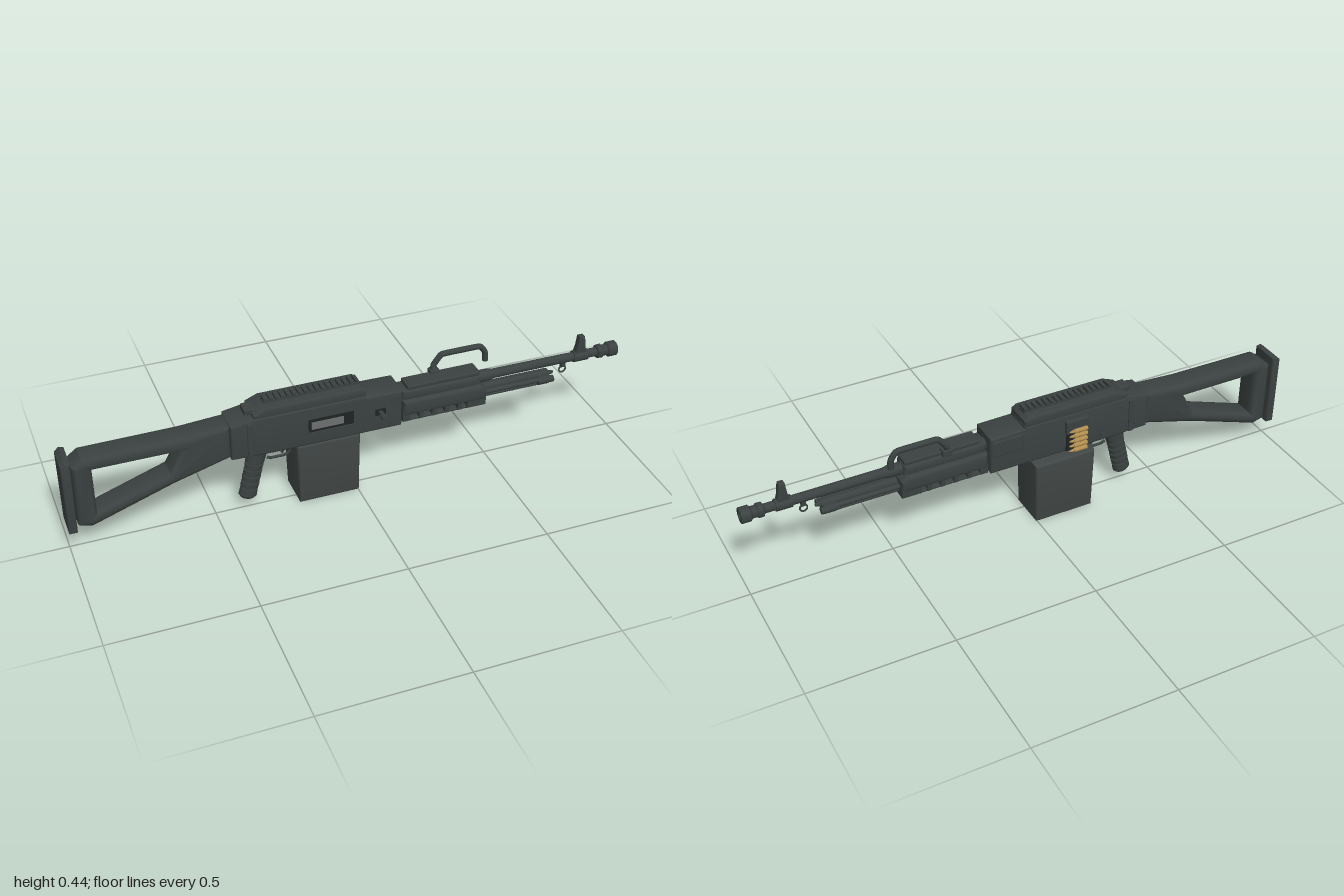
import * as THREE from 'three';
import { toCreasedNormals } from 'three/addons/utils/BufferGeometryUtils.js';
import { RoundedBoxGeometry } from 'three/addons/geometries/RoundedBoxGeometry.js';

const mat = (name, color) => new THREE.MeshStandardMaterial({ name, color });
const ZC = -0.005; // centre line of the body

export function createModel() {
  const root = new THREE.Group();
  const gunmetal = mat('gunmetal', 0x3a4140);
  const boxGrey = mat('ammo box grey', 0x404645);
  const dark = mat('dark recess', 0x1f2323);
  const steel = mat('bolt steel', 0x6c706f);
  const brass = mat('brass', 0xb08d4f);

  const add = (name, geo, m = gunmetal, parent = root) => {
    const mesh = new THREE.Mesh(geo, m);
    mesh.name = name;
    parent.add(mesh);
    return mesh;
  };
  // box given by its extents
  const box = (name, x0, x1, y0, y1, z0, z1, m, r = 0) => {
    const s = [x1 - x0, y1 - y0, z1 - z0];
    const mesh = add(name, r ? new RoundedBoxGeometry(...s, 2, r) : new THREE.BoxGeometry(...s), m);
    mesh.position.set((x0 + x1) / 2, (y0 + y1) / 2, (z0 + z1) / 2);
    return mesh;
  };
  // side outline extruded across z, with bevelled edges inside the outline
  const side = (name, pts, z0, z1, bevel, m, holes = []) => {
    const v = (a) => a.map(([x, y]) => new THREE.Vector2(x, y));
    const shape = new THREE.Shape(v(pts));
    for (const h of holes) shape.holes.push(new THREE.Path(v(h)));
    const geo = new THREE.ExtrudeGeometry(shape, {
      depth: z1 - z0 - 2 * bevel, bevelEnabled: bevel > 0, bevelSize: bevel,
      bevelThickness: bevel, bevelOffset: -bevel, bevelSegments: 3,
    });
    geo.translate(0, 0, z0 + bevel);
    return add(name, toCreasedNormals(geo, 0.6), m);
  };
  // turned part along x: [x, radius] pairs
  const turned = (name, y, z, pts, m, seg = 20) => {
    const geo = new THREE.LatheGeometry(pts.map(([x, r]) => new THREE.Vector2(r, x)), seg);
    geo.rotateZ(-Math.PI / 2);
    const mesh = add(name, toCreasedNormals(geo, 0.6), m);
    mesh.position.set(0, y, z);
    return mesh;
  };
  const rod = (name, x0, x1, y, z, r, m) => turned(name, y, z, [[x0, 0], [x0, r], [x1, r], [x1, 0]], m);
  // round pin pointing along z
  const pin = (name, x, y, z0, z1, r, m) => {
    const geo = new THREE.CylinderGeometry(r, r, z1 - z0, 16);
    geo.rotateX(Math.PI / 2);
    add(name, geo, m).position.set(x, y, (z0 + z1) / 2);
  };
  const tube = (name, pts, r) => {
    const path = new THREE.CatmullRomCurve3(pts.map((p) => new THREE.Vector3(...p)), false, 'catmullrom', 0.2);
    return add(name, new THREE.TubeGeometry(path, 40, r, 10));
  };

  // Shoulder stock and butt plate
  side('stock', [[-0.965, 0.1], [-0.92, 0.087], [-0.64, 0.185], [-0.44, 0.242], [-0.44, 0.368],
    [-0.6, 0.358], [-0.93, 0.356], [-0.965, 0.33]], -0.055, 0.04, 0.02, gunmetal,
  [[[-0.9, 0.308], [-0.605, 0.308], [-0.65, 0.228], [-0.9, 0.14]]]);
  side('buttPlate', [[-1, 0.085], [-0.972, 0.085], [-0.968, 0.36], [-0.985, 0.363], [-1, 0.35]],
    -0.06, 0.047, 0.006);

  // Receiver
  side('receiver', [[-0.445, 0.24], [-0.3, 0.235], [0.157, 0.235], [0.157, 0.374], [0.03, 0.376],
    [0.03, 0.383], [-0.37, 0.383], [-0.445, 0.37]], -0.06, 0.05, 0.007);
  box('rearCollar', -0.39, -0.37, 0.24, 0.37, -0.065, 0.054, gunmetal, 0.004);
  box('frontBlock', 0.035, 0.15, 0.3, 0.36, -0.063, 0.05, gunmetal, 0.004);
  for (const [x, y] of [[-0.4, 0.27], [-0.27, 0.26], [0.12, 0.26], [-0.34, 0.35], [0.12, 0.345]])
    pin('receiverPin', x, y, -0.066, 0.054, 0.007);

  // Feed cover with toothed rail
  side('feedCover', [[-0.365, 0.378], [0.028, 0.378], [0.028, 0.402], [0.012, 0.413],
    [-0.32, 0.413], [-0.365, 0.395]], -0.058, 0.047, 0.006);
  box('rearSightBase', -0.388, -0.345, 0.385, 0.405, -0.03, 0.02, gunmetal, 0.003);
  box('railBase', -0.32, 0.015, 0.408, 0.419, -0.021, 0.011);
  for (let i = 0; i < 17; i++) {
    const x = -0.318 + i * 0.02;
    box('railTooth', x, x + 0.011, 0.418, 0.429, -0.023, 0.013);
  }

  // Ejection port and bolt
  box('portRecess', -0.178, -0.018, 0.287, 0.337, 0.046, 0.0515, dark);
  box('boltFace', -0.168, -0.055, 0.297, 0.326, 0.048, 0.053, steel);
  box('portLip', -0.178, -0.018, 0.28, 0.287, 0.046, 0.056);

  // Charging handle
  box('handleSlot', 0.06, 0.096, 0.298, 0.322, 0.046, 0.054, dark);
  pin('chargingHandleStem', 0.077, 0.31, 0.045, 0.085, 0.008);
  pin('chargingHandleKnob', 0.077, 0.31, 0.08, 0.1, 0.0115);

  // Ammunition box, feed tray and belt
  side('ammoBox', [[-0.212, 0.001], [0.003, 0.001], [0.007, 0.235], [-0.22, 0.235]], -0.096, 0.049, 0.008, boxGrey);
  box('feedTray', -0.205, -0.12, 0.312, 0.361, -0.075, -0.055, gunmetal, 0.003);
  box('feedOpening', -0.2, -0.125, 0.238, 0.312, -0.064, -0.058, dark);
  for (let i = 0; i < 5; i++) {
    const y = 0.247 + i * 0.0195;
    rod('cartridgeCase', -0.195, -0.145, y, -0.081, 0.0075, brass);
    turned('bullet', y, -0.081, [[-0.145, 0.005], [-0.135, 0.0045], [-0.125, 0]], brass, 12);
  }

  // Pistol grip: slim core with stacked ribs
  const grip = new THREE.Group();
  grip.name = 'pistolGrip';
  grip.position.set(-0.34, 0.238, ZC);
  grip.rotation.z = -0.227;
  root.add(grip);
  const gripPart = (name, top, bottom, wTop, wBottom) => {
    const geo = new THREE.CylinderGeometry(wTop / 2, wBottom / 2, top - bottom, 20);
    geo.scale(1, 1, 0.75);
    geo.translate(0, (top + bottom) / 2, 0);
    add(name, geo, gunmetal, grip);
  };
  gripPart('gripCore', 0, -0.195, 0.058, 0.046);
  gripPart('gripTop', 0.01, -0.062, 0.076, 0.066);
  for (let i = 0; i < 4; i++) gripPart('gripRib', -0.067 - i * 0.025, -0.087 - i * 0.025, 0.066, 0.062);
  gripPart('gripFoot', -0.167, -0.195, 0.062, 0.064);
  gripPart('gripCap', -0.195, -0.203, 0.064, 0.05);

  // Trigger and guard
  tube('triggerGuard', [[-0.312, 0.185, ZC], [-0.295, 0.178, ZC], [-0.25, 0.178, ZC], [-0.232, 0.185, ZC],
    [-0.228, 0.205, ZC], [-0.228, 0.24, ZC]], 0.005);
  tube('trigger', [[-0.265, 0.24, ZC], [-0.255, 0.215, ZC], [-0.252, 0.2, ZC], [-0.258, 0.19, ZC]], 0.005);

  // Handguard with vented lower rim
  side('handguard', [[0.165, 0.263], [0.475, 0.263], [0.475, 0.305], [0.455, 0.322], [0.165, 0.322]],
    -0.06, 0.047, 0.014);
  box('handguardFloor', 0.165, 0.475, 0.236, 0.246, -0.048, 0.037, gunmetal, 0.004);
  for (const [a, b] of [[0.165, 0.193], [0.225, 0.241], [0.273, 0.289], [0.321, 0.337], [0.369, 0.385], [0.405, 0.475]])
    box('handguardRib', a, b, 0.24, 0.274, -0.052, 0.041);
  side('upperShroud', [[0.165, 0.315], [0.46, 0.315], [0.455, 0.352], [0.165, 0.356]], -0.043, 0.032, 0.012);
  box('topPlate', 0.185, 0.455, 0.354, 0.37, -0.037, 0.026, gunmetal, 0.005);

  // Carrying handle, offset to one side
  tube('carryHandle', [[0.305, 0.362, -0.03], [0.308, 0.388, -0.042], [0.335, 0.424, -0.042], [0.355, 0.427, -0.042],
    [0.465, 0.427, -0.042], [0.485, 0.424, -0.042], [0.503, 0.398, -0.042], [0.505, 0.365, -0.042]], 0.0105);
  box('carryHandleMount', 0.29, 0.325, 0.352, 0.378, -0.052, -0.02, gunmetal, 0.004);

  // Barrel and muzzle device
  turned('barrel', 0.329, ZC, [[0.14, 0], [0.14, 0.022], [0.5, 0.021], [0.52, 0.017], [0.93, 0.016], [0.93, 0]]);
  turned('muzzleBrake', 0.329, ZC, [[0.92, 0.015], [0.925, 0.024], [0.942, 0.025], [0.947, 0.02], [0.962, 0.02],
    [0.968, 0.027], [0.998, 0.027], [1, 0.025], [1, 0.013], [0.97, 0.013]]);
  rod('bore', 0.96, 0.975, 0.329, ZC, 0.0135, dark);

  // Front sight
  rod('sightCollar', 0.83, 0.885, 0.329, ZC, 0.021);
  side('frontSight', [[0.832, 0.335], [0.882, 0.335], [0.872, 0.368], [0.867, 0.409], [0.847, 0.409], [0.842, 0.368]],
    -0.018, 0.008, 0.003);

  // Gas tube and folded bipod legs
  turned('gasTube', 0.283, ZC, [[0.46, 0], [0.46, 0.016], [0.69, 0.014], [0.72, 0.014], [0.755, 0.005], [0.755, 0]]);
  for (const s of [-1, 1]) {
    rod('bipodLeg', 0.465, 0.735, 0.277, ZC + s * 0.024, 0.009);
    rod('bipodFoot', 0.685, 0.745, 0.272, ZC + s * 0.024, 0.012);
    rod('bipodBrace', 0.465, 0.7, 0.256, ZC + s * 0.014, 0.0055);
  }
  box('bipodYoke', 0.69, 0.735, 0.25, 0.285, -0.026, 0.016, gunmetal, 0.005);

  // Sling ring under the barrel
  add('slingRing', new THREE.TorusGeometry(0.0125, 0.003, 8, 24)).position.set(0.793, 0.286, ZC);
  box('slingLug', 0.785, 0.801, 0.297, 0.32, -0.012, 0.002);

  return root;
}
